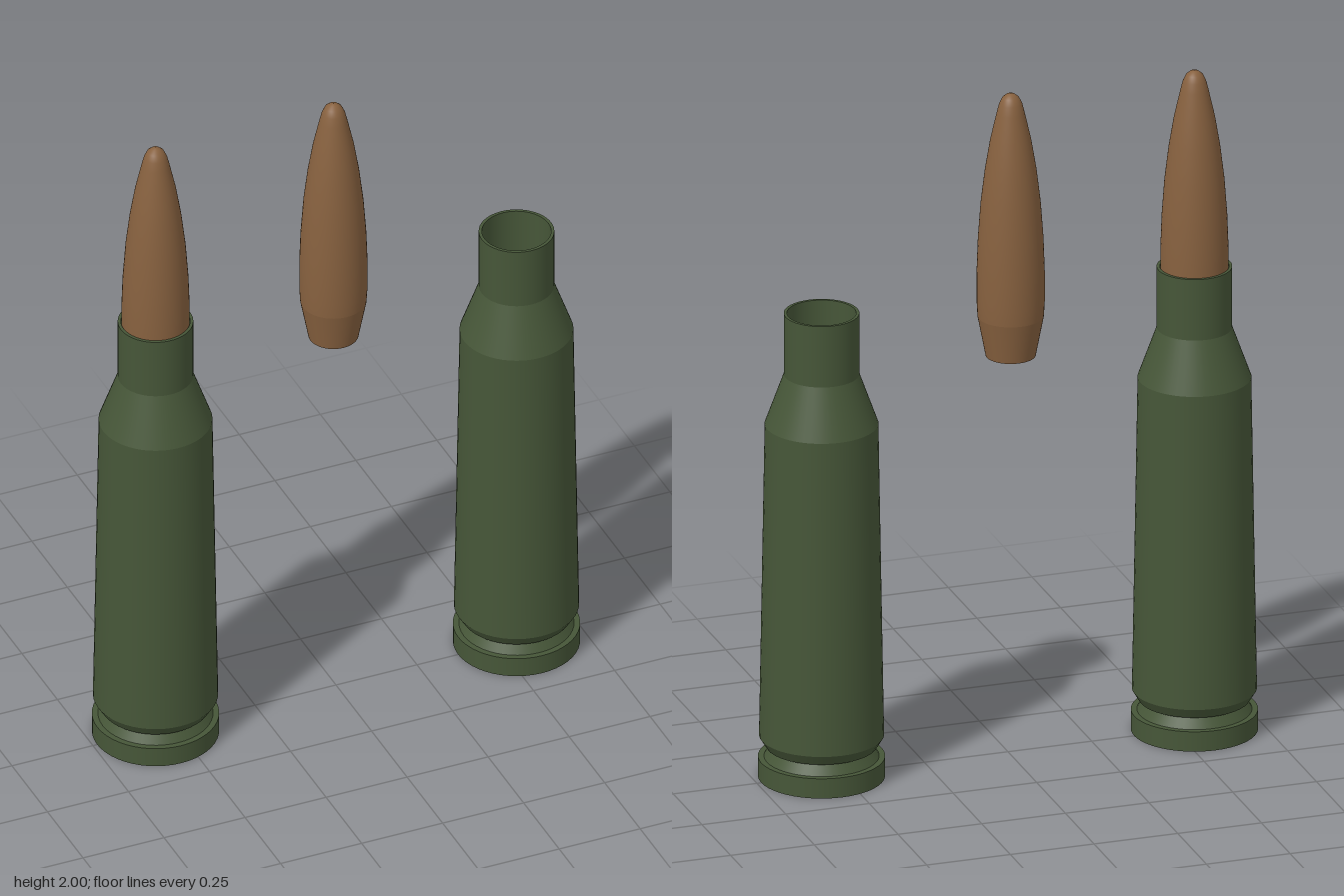
import * as THREE from 'three';
import { mergeGeometries } from 'three/addons/utils/BufferGeometryUtils.js';

const SIDES = 48;
const green = new THREE.MeshStandardMaterial({ color: 0x465638 });
green.name = 'green lacquer';
const copper = new THREE.MeshStandardMaterial({ color: 0x87613f });
copper.name = 'copper';
const brass = new THREE.MeshStandardMaterial({ color: 0xc4ac52 });
brass.name = 'brass';

// Turned part from several [radius, height] runs; edges between runs stay sharp
function turned(name, runs, material) {
  const parts = runs.map((run) =>
    new THREE.LatheGeometry(run.map(([r, y]) => new THREE.Vector2(r, y)), SIDES));
  const mesh = new THREE.Mesh(mergeGeometries(parts), material);
  mesh.name = name;
  return mesh;
}

// Joins consecutive points into separate straight runs
const straight = (pts) => pts.slice(1).map((p, i) => [pts[i], p]);

// Hollow bottlenecked case with its extractor groove and primer
function makeCase(name) {
  const group = new THREE.Group();
  group.name = name;
  const outer = [
    [0.06, 0], [0.18, 0], [0.18, 0.06], [0.163, 0.06], [0.143, 0.092],
    [0.158, 0.094], [0.177, 0.125], [0.161, 1.07], [0.107, 1.22], [0.107, 1.405],
  ];
  const inner = [
    [0.107, 1.405], [0.098, 1.405], [0.098, 1.215], [0.15, 1.065], [0.15, 0.14], [0, 0.14],
  ];
  group.add(turned('caseWall', straight(outer), green));
  group.add(turned('caseInterior', straight(inner), green));
  group.add(turned('primer', [[[0, 0], [0.06, 0]]], brass));
  return group;
}

// Boat-tailed bullet with a rounded nose
function makeBullet(name) {
  return turned(name, [
    [[0, 1.205], [0.071, 1.205]],
    [[0.071, 1.205], [0.094, 1.325]],
    [
      [0.094, 1.325], [0.0965, 1.37], [0.0965, 1.46], [0.093, 1.56], [0.085, 1.67],
      [0.073, 1.77], [0.058, 1.86], [0.04, 1.94], [0.033, 1.968], [0.024, 1.987],
      [0.012, 1.997], [0, 2],
    ],
  ], copper);
}

export function createModel() {
  const model = new THREE.Group();
  model.name = 'cartridgeSet';

  // Complete cartridge
  const cartridge = new THREE.Group();
  cartridge.name = 'completeCartridge';
  cartridge.add(makeCase('loadedCase'), makeBullet('seatedBullet'));
  cartridge.position.x = -0.557;

  // Separate bullet and empty case
  const bullet = makeBullet('looseBullet');
  bullet.position.x = -0.008;
  const emptyCase = makeCase('emptyCase');
  emptyCase.position.x = 0.557;

  model.add(cartridge, bullet, emptyCase);
  return model;
}
